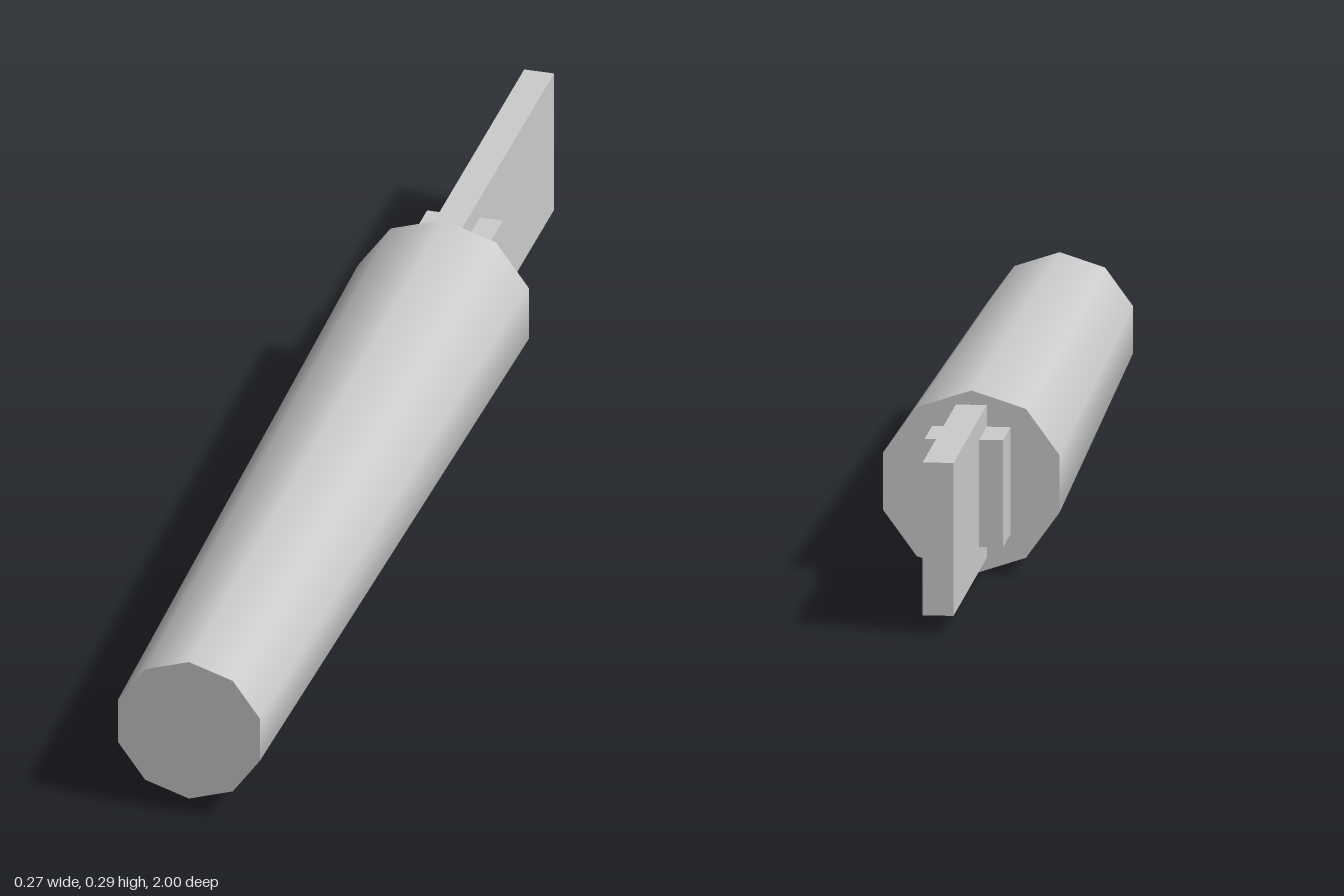
import * as THREE from 'three';

export function createModel() {
  const model = new THREE.Group();
  const grey = new THREE.MeshStandardMaterial({ color: 0xcccccc });
  grey.name = 'light grey';
  const midY = 0.147;
  const handleBack = -0.453;

  function add(name, geometry, y, z) {
    const mesh = new THREE.Mesh(geometry, grey);
    mesh.name = name;
    mesh.position.set(0, y, z);
    model.add(mesh);
  }

  // A box reaching from just inside the handle to the given back end
  function addBox(name, width, height, y, back) {
    const front = handleBack + 0.02;
    add(name, new THREE.BoxGeometry(width, height, front - back), y, (front + back) / 2);
  }

  // Tapered ten-sided handle with smooth sides, lying along z
  const length = 1 - handleBack;
  const handle = new THREE.CylinderGeometry(0.12, 0.1445, length, 10);
  handle.rotateX(Math.PI / 2);
  add('handle', handle, midY, (1 + handleBack) / 2);

  // Collar clamping the blade, and the flat blade
  addBox('bladeCollar', 0.122, 0.168, 0.151, -0.577);
  addBox('blade', 0.048, 0.24, 0.149, -1);

  return model;
}
